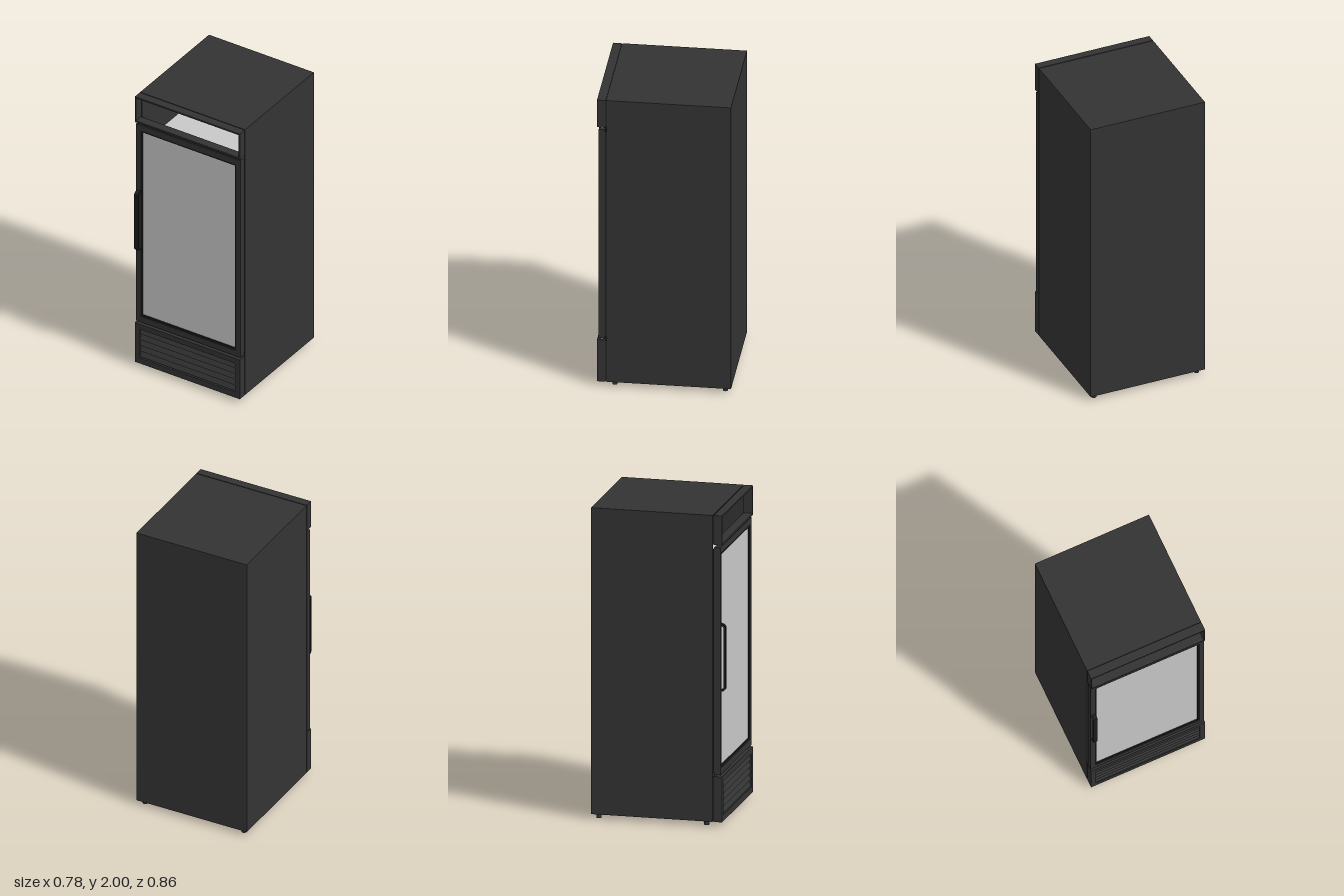
import * as THREE from 'three';

export function createModel() {
  const model = new THREE.Group();
  const paint = (name, color) => {
    const m = new THREE.MeshStandardMaterial({ color });
    m.name = name;
    return m;
  };
  const charcoal = paint('charcoal', 0x333333);
  const black = paint('black', 0x1c1c1c);
  const pale = paint('paleGrey', 0xc8c8c8);

  const add = (name, geometry, material) => {
    const mesh = new THREE.Mesh(geometry, material);
    mesh.name = name;
    model.add(mesh);
    return mesh;
  };
  // Box given by its two opposite corners
  const box = (name, x0, x1, y0, y1, z0, z1, material = charcoal) => {
    const mesh = add(name, new THREE.BoxGeometry(x1 - x0, y1 - y0, z1 - z0), material);
    mesh.position.set((x0 + x1) / 2, (y0 + y1) / 2, (z0 + z1) / 2);
    return mesh;
  };
  // Rectangular frame facing front, with a rectangular hole
  const rect = (path, x, y0, y1) =>
    path.moveTo(-x, y0).lineTo(x, y0).lineTo(x, y1).lineTo(-x, y1).closePath();
  const frame = (name, outer, inner, z0, z1, material = charcoal) => {
    const shape = rect(new THREE.Shape(), ...outer);
    shape.holes.push(rect(new THREE.Path(), ...inner));
    const geometry = new THREE.ExtrudeGeometry(shape, { depth: z1 - z0, bevelEnabled: false });
    return add(name, geometry.translate(0, 0, z0), material);
  };

  // Cabinet: closed lower body, with an open-fronted cavity above
  box('cabinetBody', -0.39, 0.39, 0.03, 1.61, -0.43, 0.35);
  box('cabinetBack', -0.39, 0.39, 1.61, 2, -0.43, -0.21);
  box('cabinetTop', -0.39, 0.39, 1.988, 2, -0.21, 0.35);
  for (const s of [-1, 1]) {
    const wall = box('cabinetSide', -0.006, 0.006, 1.61, 1.988, -0.21, 0.35);
    wall.position.x = s * 0.384;
  }
  box('cavityFloor', -0.378, 0.378, 1.61, 1.618, -0.21, 0.34, pale);

  // Open header frame
  frame('headerSeal', [0.386, 1.814, 1.996], [0.38, 1.82, 1.99], 0.35, 0.356, black);
  frame('header', [0.39, 1.81, 2], [0.382, 1.822, 1.989], 0.356, 0.41);

  // Door with seal, window rim and pane
  frame('doorSeal', [0.384, 0.345, 1.78], [0.35, 0.38, 1.75], 0.35, 0.36, black);
  frame('door', [0.388, 0.332, 1.795], [0.356, 0.374, 1.755], 0.36, 0.4);
  frame('windowRim', [0.356, 0.374, 1.755], [0.345, 0.387, 1.742], 0.362, 0.396, black);
  box('windowPane', -0.346, 0.346, 0.386, 1.743, 0.381, 0.389, pale);

  // Hinge pins above and below the door
  for (const y of [0.326, 1.8025]) {
    const pin = add('hingePin', new THREE.CylinderGeometry(0.009, 0.009, 0.016, 12), pale);
    pin.position.set(0.37, y, 0.38);
  }

  // Handle: bent flat bar, drawn from the side and given width
  const bar = new THREE.Shape();
  const profile = [
    [0.395, 0.865], [0.42, 0.873], [0.43, 0.885], [0.43, 1.285], [0.42, 1.298], [0.395, 1.307],
    [0.395, 1.293], [0.413, 1.286], [0.419, 1.278], [0.419, 0.892], [0.413, 0.885], [0.395, 0.878],
  ];
  bar.setFromPoints(profile.map(([z, y]) => new THREE.Vector2(z, y)));
  const handle = add('handle',
    new THREE.ExtrudeGeometry(bar, { depth: 0.028, bevelEnabled: false }), black);
  handle.rotation.y = -Math.PI / 2;
  handle.position.x = -0.355;

  // Lower panel with tilted grille slats
  box('grilleSeal', -0.386, 0.386, 0.036, 0.316, 0.35, 0.356, black);
  frame('grillePanel', [0.39, 0.03, 0.322], [0.355, 0.07, 0.284], 0.356, 0.41);
  box('grilleBack', -0.355, 0.355, 0.07, 0.284, 0.356, 0.372, black);
  for (let i = 0; i < 5; i++) {
    const slat = add('grilleSlat', new THREE.BoxGeometry(0.71, 0.036, 0.008), charcoal);
    slat.position.set(0, 0.092 + i * 0.0425, 0.395);
    slat.rotation.x = -0.5;
  }

  // Feet
  for (const x of [-0.35, 0.35]) {
    for (const z of [-0.39, 0.302]) {
      const foot = add('foot', new THREE.CylinderGeometry(0.016, 0.016, 0.031, 16), charcoal);
      foot.position.set(x, 0.0155, z);
    }
  }
  return model;
}
